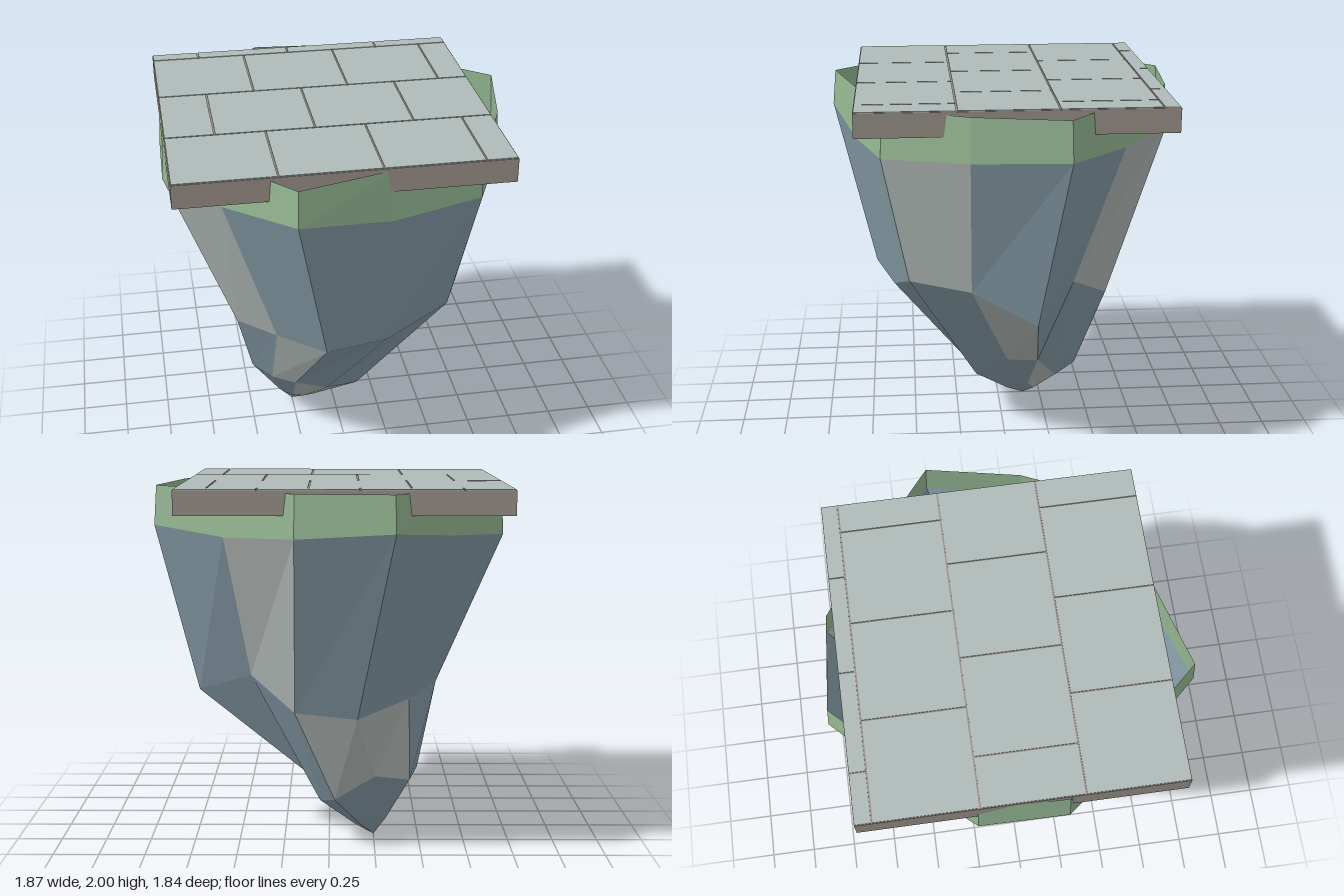
import * as THREE from 'three';

const mat = (name, color, side = THREE.FrontSide) => {
  const m = new THREE.MeshStandardMaterial({ color, flatShading: true, side });
  m.name = name;
  return m;
};

// Cross-sections of the rock, 12 corners each: [x, y, z], from the front round by +x
const rimLow = [
  [-0.34, 1.79, 0.92], [0.15, 1.71, 0.78], [0.63, 1.73, 0.65], [0.83, 1.75, 0.21],
  [0.93, 1.77, -0.28], [0.54, 1.74, -0.6], [0.17, 1.76, -0.88], [-0.33, 1.79, -0.92],
  [-0.64, 1.75, -0.6], [-0.93, 1.72, -0.25], [-0.94, 1.74, 0.2], [-0.67, 1.74, 0.55],
];
const waist = [
  [-0.17, 0.91, 0.7], [0.17, 0.89, 0.6], [0.51, 1.03, 0.52], [0.65, 1.01, 0.2],
  [0.72, 0.84, -0.14], [0.42, 0.97, -0.36], [0.18, 0.81, -0.57], [-0.15, 0.78, -0.59],
  [-0.43, 0.85, -0.4], [-0.59, 0.89, -0.15], [-0.59, 0.83, 0.2], [-0.4, 0.87, 0.44],
];
const ankle = [
  [-0.28, 0.41, 0.26], [-0.09, 0.31, 0.2], [0.09, 0.29, 0.15], [0.22, 0.43, -0.02],
  [0.13, 0.38, -0.2], [0.05, 0.25, -0.31], [-0.03, 0.29, -0.43], [-0.25, 0.42, -0.42],
  [-0.44, 0.38, -0.35], [-0.49, 0.4, -0.17], [-0.5, 0.41, 0.04], [-0.4, 0.38, 0.14],
];
const tip = [-0.25, 0, -0.15];
const toe = ankle.map(([x, y, z]) => [
  tip[0] + (x - tip[0]) * 0.35, y * 0.31, tip[2] + (z - tip[2]) * 0.35,
]);
const rimTop = rimLow.map(([x, , z]) => [x * 0.985, 1.98, z * 0.98]);
const point = rimLow.map(() => tip);

// Two triangles for each chosen side of the band between two rings
function band(lower, upper, sides) {
  const pos = [];
  for (const k of sides) {
    const n = (k + 1) % lower.length;
    const a = lower[k], b = lower[n], c = upper[n], d = upper[k];
    if (a !== b) pos.push(...a, ...b, ...c);
    pos.push(...a, ...c, ...d);
  }
  const geo = new THREE.BufferGeometry();
  geo.setAttribute('position', new THREE.Float32BufferAttribute(pos, 3));
  geo.computeVertexNormals();
  return geo;
}

export function createModel() {
  const group = new THREE.Group();
  group.name = 'floatingIsland';
  const blueRock = mat('blueRock', 0x869ca7, THREE.DoubleSide);
  const greyRock = mat('greyRock', 0xb2bab7, THREE.DoubleSide);
  const grass = mat('grass', 0x95b893, THREE.DoubleSide);
  const mortar = mat('mortar', 0x999088);
  const tileStone = mat('tileStone', 0xb0bbb9);

  const add = (name, geo, material, parent = group) => {
    const mesh = new THREE.Mesh(geo, material);
    mesh.name = name;
    parent.add(mesh);
    return mesh;
  };

  // Rock bands, with some sides in the paler stone
  const all = rimLow.map((_, k) => k);
  const bands = [
    ['upperRock', waist, rimLow, [2, 5, 9, 10]],
    ['lowerRock', ankle, waist, [3, 6, 7, 11]],
    ['rockFoot', toe, ankle, [0, 1, 4]],
    ['rockTip', point, toe, []],
  ];
  for (const [name, lower, upper, pale] of bands) {
    add(name, band(lower, upper, all.filter((k) => !pale.includes(k))), blueRock);
    if (pale.length) add(name + 'Pale', band(lower, upper, pale), greyRock);
  }

  // Grass rim, open at the top
  add('grassRim', band(rimLow, rimTop, all), grass);

  // Paving slab
  const x0 = -0.92, x1 = 0.765, z0 = -0.83, z1 = 0.775, top = 2;
  const slab = add('slab', new THREE.BoxGeometry(x1 - x0, 0.125, z1 - z0), mortar);
  slab.position.set((x0 + x1) / 2, 1.995 - 0.0625, (z0 + z1) / 2);

  // Paving tiles in staggered rows, separated by mortar joints
  const paving = new THREE.Group();
  paving.name = 'paving';
  group.add(paving);
  const rows = [z0, -0.745, -0.235, 0.27, z1];
  const joints = [[x0, -0.665, -0.155, 0.355, x1], [x0, -0.41, 0.1, 0.605, x1]];
  const gap = 0.008, thick = 0.005;
  for (let r = 0; r < rows.length - 1; r++) {
    const xs = joints[r % 2];
    for (let i = 0; i < xs.length - 1; i++) {
      const geo = new THREE.BoxGeometry(xs[i + 1] - xs[i] - gap, thick, rows[r + 1] - rows[r] - gap);
      const tile = add('tile', geo, tileStone, paving);
      tile.position.set((xs[i] + xs[i + 1]) / 2, top - thick / 2, (rows[r] + rows[r + 1]) / 2);
    }
  }
  return group;
}
